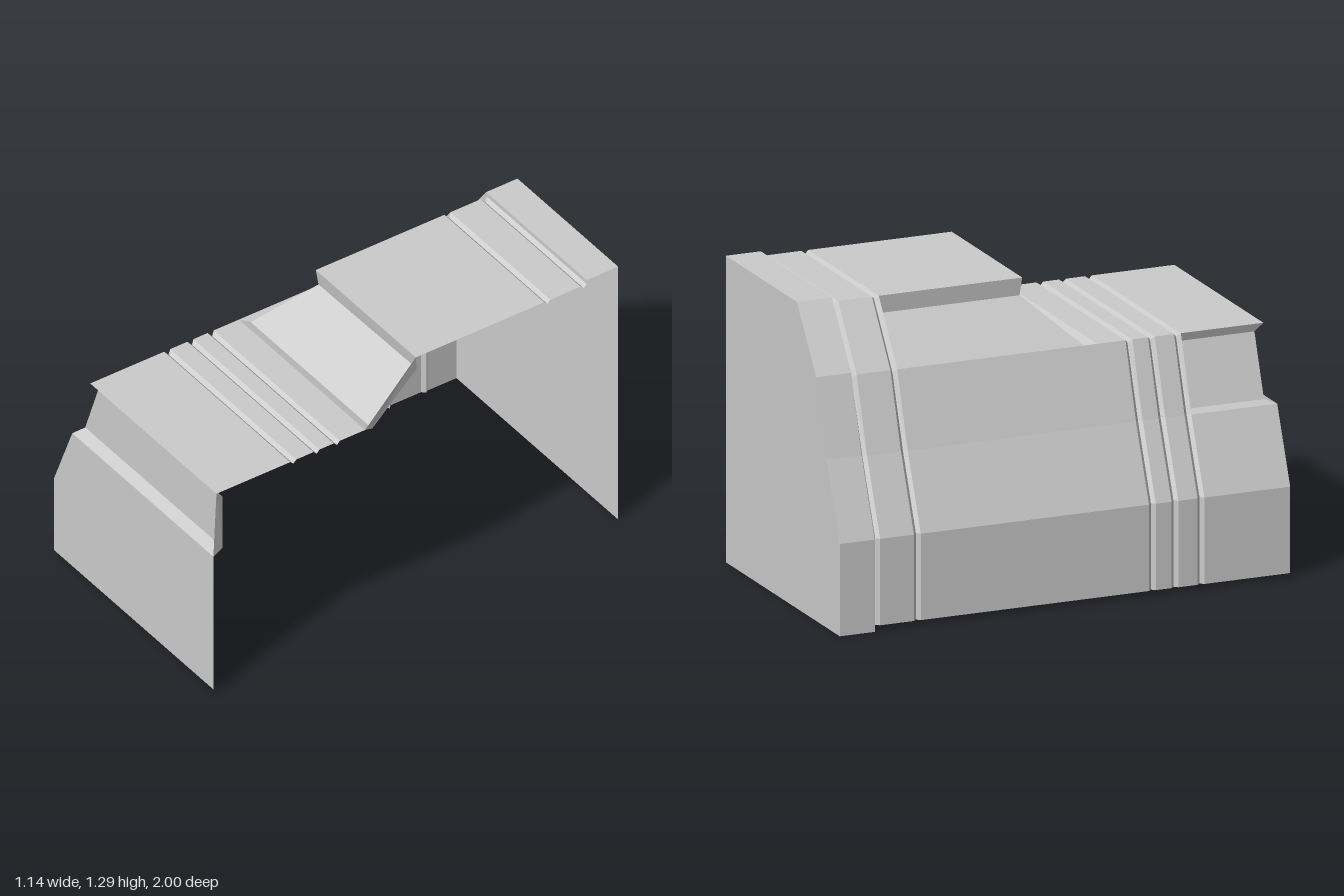
import * as THREE from 'three';

const material = new THREE.MeshStandardMaterial({ color: 0xcccccc, flatShading: true, side: THREE.DoubleSide });
const EDGE = 0.57;

function surface(name, triangles) {
  const geometry = new THREE.BufferGeometry();
  geometry.setAttribute('position', new THREE.Float32BufferAttribute(triangles.flat(), 3));
  geometry.computeVertexNormals();
  const mesh = new THREE.Mesh(geometry, material);
  mesh.name = name;
  return mesh;
}

// Skin a series of equal-length point rows
function loft(name, rows) {
  const t = [];
  for (let r = 0; r < rows.length - 1; r++) {
    for (let p = 0; p < rows[r].length - 1; p++) {
      const a = rows[r][p], b = rows[r][p + 1], c = rows[r + 1][p + 1], d = rows[r + 1][p];
      t.push(a, b, c, a, c, d);
    }
  }
  return surface(name, t);
}

// Fill a convex outline
function fan(name, points) {
  const t = [];
  for (let i = 1; i < points.length - 1; i++) t.push(points[0], points[i], points[i + 1]);
  return surface(name, t);
}

const at = (profile, z) => profile.map(([x, y]) => [x, y, z]);
const sunk = (profile, d) => profile.map(([x, y]) => [x < EDGE ? x + d : x, y > 1 ? y - d : y]);

// Rows across a V-shaped groove that starts at z and runs backwards
const groove = (profile, z) => [
  at(profile, z), at(sunk(profile, 0.015), z - 0.015), at(profile, z - 0.03),
];

// Sunken panels wrapping a corner, framed by an outer top and bottom edge
function recess(name, bottom, innerBottom, innerTop, top) {
  const rows = [bottom, innerBottom, innerTop, top];
  const group = new THREE.Group();
  group.name = name;
  group.add(
    loft(name + 'Panels', rows),
    fan(name + 'EndWall', rows.map((r) => r[0])),
    fan(name + 'Rim', rows.map((r) => r[2]).reverse()),
  );
  return group;
}

// Three points of an edge: side end, corner, open end
const edge = (x, y, zEnd, zFront, xOpen, yOpen = y) => [[x, y, zEnd], [x, y, zFront], [xOpen, yOpen, zFront]];

export function createModel() {
  const group = new THREE.Group();
  group.name = 'halfHousing';

  const side = [[-0.555, 0.02], [-0.555, 0.385], [-0.425, 0.7], [-0.32, 1.015]];
  const low = [...side, [EDGE, 1.015]];
  const high = [...side, [-0.135, 1.275], [EDGE, 1.275]];
  const flange = [[-0.57, 0], [-0.57, 0.39], [-0.438, 0.71], [-0.335, 1.03], [-0.14, 1.295], [EDGE, 1.295]];
  const lowerSide = side.slice(0, 3);

  // Front block
  const frontOutline = [...lowerSide, [EDGE, 0.7], [EDGE, 0.02]];
  group.add(
    fan('frontWall', at(frontOutline, 1).reverse()),
    loft('frontSide', [at(lowerSide, 1), at(lowerSide, 0.62)]),
    loft('frontTop', [at(low.slice(3), 0.985), at(low.slice(3), 0.62)]),
    recess('frontRecess',
      edge(-0.425, 0.7, 0.62, 1, EDGE),
      edge(-0.405, 0.72, 0.62, 0.95, 0.563),
      edge(-0.31, 0.98, 0.62, 0.95, 0.563),
      edge(-0.32, 1.015, 0.62, 0.985, EDGE)),
  );

  // Grooved low section and the plain side behind it
  group.add(
    loft('groovedBody', [...[0.62, 0.505, 0.405].flatMap((z) => groove(low, z)), at(low, 0.25)]),
    loft('middleSide', [at(side, 0.25), at(side, -0.635)]),
  );

  // Raised hump with overhanging top
  group.add(
    loft('humpTop', [at(high.slice(4), 0), at(high.slice(4), -0.635)]),
    recess('humpRecess',
      edge(-0.32, 1.015, -0.635, 0.25, EDGE),
      edge(-0.295, 1, -0.635, 0.21, 0.563),
      edge(-0.13, 1.2, -0.635, -0.01, 0.563, 1.21),
      edge(-0.135, 1.275, -0.635, 0, EDGE)),
  );

  // Grooved rear section, stepped flange and closing plate
  group.add(
    loft('rearBody', [
      ...[-0.635, -0.815].flatMap((z) => groove(high, z)),
      at(flange, -0.845), at(flange, -1),
    ]),
    fan('backPlate', at([...flange, [EDGE, 0]], -1)),
  );
  return group;
}
